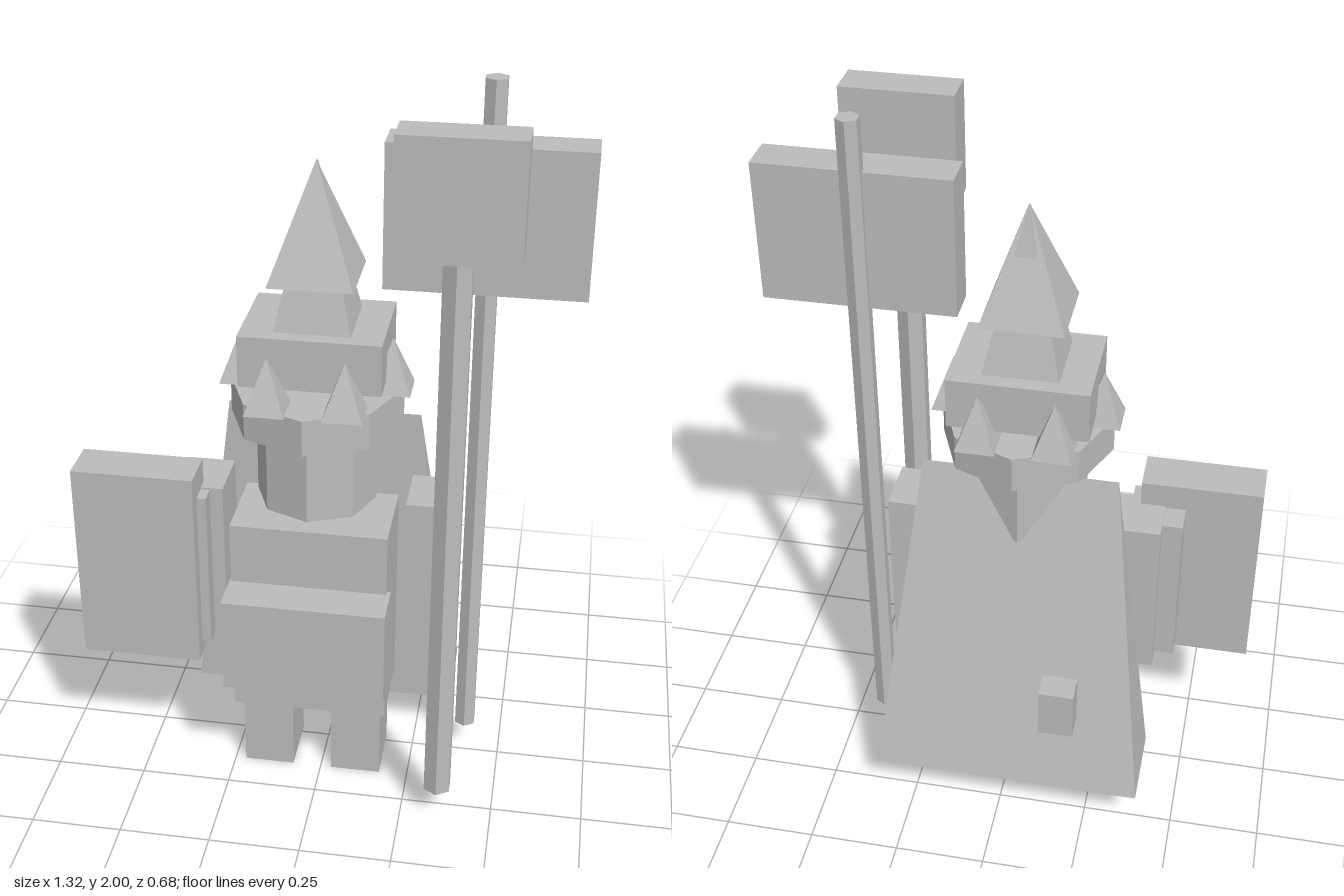
import * as THREE from 'three';

export function createModel() {
  const model = new THREE.Group();
  const stone = new THREE.MeshStandardMaterial({ color: 0xbcbcbc });
  stone.name = 'plain grey';
  stone.flatShading = true;

  const add = (name, geometry) => {
    const mesh = new THREE.Mesh(geometry, stone);
    mesh.name = name;
    model.add(mesh);
    return mesh;
  };
  // Box given by its limits on each axis
  const box = (name, [x0, x1], [y0, y1], [z0, z1]) =>
    add(name, new THREE.BoxGeometry(x1 - x0, y1 - y0, z1 - z0))
      .position.set((x0 + x1) / 2, (y0 + y1) / 2, (z0 + z1) / 2);
  // Upright prism with a corner facing the front
  const prism = (name, x, z, r, y0, y1, sides) =>
    add(name, new THREE.CylinderGeometry(r, r, y1 - y0, sides)).position.set(x, (y0 + y1) / 2, z);
  // Square pyramid with sides along the axes
  const pyramid = (name, x, z, half, y0, y1) =>
    add(name, new THREE.ConeGeometry(half * Math.SQRT2, y1 - y0, 4).rotateY(Math.PI / 4))
      .position.set(x, (y0 + y1) / 2, z);

  // Legs, torso and arms
  box('rightLeg', [-0.22, -0.08], [0, 0.23], [-0.025, 0.145]);
  box('leftLeg', [0.03, 0.17], [0, 0.23], [-0.025, 0.145]);
  box('torso', [-0.24, 0.185], [0.225, 0.81], [-0.06, 0.175]);
  box('beard', [-0.245, 0.195], [0.36, 0.635], [0.16, 0.285]);
  box('rightArm', [-0.4, -0.27], [0.405, 0.885], [-0.045, 0.115]);
  box('leftArm', [0.225, 0.35], [0.405, 0.885], [-0.045, 0.115]);

  // Shield with its backing
  box('shieldGrip', [-0.455, -0.305], [0.42, 0.88], [0, 0.165]);
  box('shield', [-0.66, -0.33], [0.38, 0.955], [0.08, 0.205]);

  // Cape: a wedge, flat in front and sloping out behind
  const top = [[-0.285, 1.06, -0.065], [0.24, 1.06, -0.065]];
  const front = [[-0.4, 0.13, -0.065], [0.35, 0.13, -0.065]];
  const back = [[-0.4, 0.13, -0.303], [0.35, 0.13, -0.303]];
  const faces = [
    front[0], front[1], top[1], front[0], top[1], top[0],
    back[1], back[0], top[0], back[1], top[0], top[1],
    back[0], back[1], front[1], back[0], front[1], front[0],
    back[0], front[0], top[0],
    front[1], back[1], top[1],
  ];
  const cape = new THREE.BufferGeometry();
  cape.setAttribute('position', new THREE.Float32BufferAttribute(faces.flat(), 3));
  cape.computeVertexNormals();
  add('cape', cape);
  box('capeClasp', [-0.22, -0.125], [0.38, 0.525], [-0.338, -0.263]);

  // Head and crown
  const cx = -0.025, cz = 0.037;
  prism('head', cx, 0.042, 0.162, 0.86, 1.07, 8);
  prism('crownBand', cx, cz, 0.23, 1.09, 1.19, 8);
  for (let i = 0; i < 6; i++) {
    const a = (i * Math.PI) / 3;
    pyramid('crownSpike', cx + 0.198 * Math.cos(a), cz + 0.198 * Math.sin(a), 0.052, 1.188, 1.33);
  }

  // Hat
  box('hatBase', [-0.21, 0.16], [1.22, 1.36], [-0.122, 0.16]);
  pyramid('hatInnerSpire', cx, 0.02, 0.1, 1.36, 1.79);
  pyramid('hatSpire', cx, cz, 0.11, 1.49, 1.792);

  // Long axe and hammer
  prism('axePole', 0.4, -0.016, 0.031, 0.095, 2, 6);
  box('axeBlade', [0.148, 0.655], [1.483, 1.86], [-0.018, 0.087]);
  prism('hammerPole', 0.35, 0.287, 0.04, 0.095, 1.8, 6);
  box('hammerHead', [0.2, 0.5], [1.658, 1.96], [0.232, 0.337]);

  return model;
}
